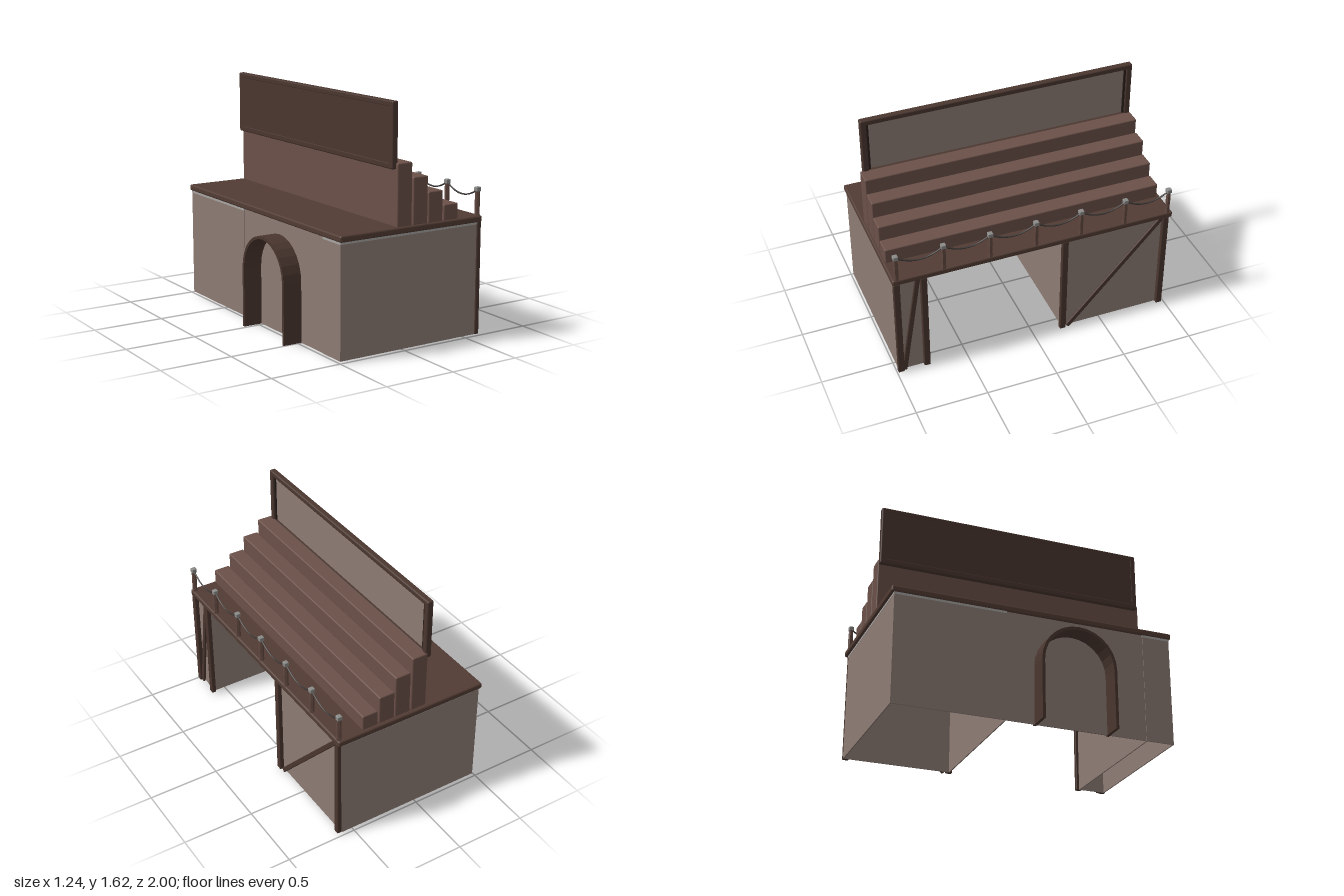
import * as THREE from 'three';
import { RoundedBoxGeometry } from 'three/addons/geometries/RoundedBoxGeometry.js';

const mat = (color, flatShading = false) =>
  new THREE.MeshStandardMaterial({ color, flatShading, side: THREE.DoubleSide });

export function createModel() {
  const root = new THREE.Group();
  const M = {
    deck: mat(0x523c34), step: mat(0x6b5048), wall: mat(0x8d7b74), trim: mat(0xa8a4a2),
    beam: mat(0x4a362f), post: mat(0x614840, true), metal: mat(0x8a8a88, true),
    iron: mat(0x3c3836), dark: mat(0x2a1f1b), plank: mat(0x6a4a40),
  };
  const add = (name, geo, m, parent = root) => {
    const mesh = new THREE.Mesh(geo, m);
    mesh.name = name;
    parent.add(mesh);
    return mesh;
  };
  // Box given by its min and max on each axis, with optional rounded edges
  const box = (name, x, y, z, m, r = 0, parent = root) => {
    const s = [x, y, z].map(([a, b]) => b - a);
    const geo = r ? new RoundedBoxGeometry(...s, 2, r) : new THREE.BoxGeometry(...s);
    const mesh = add(name, geo, m, parent);
    mesh.position.set((x[0] + x[1]) / 2, (y[0] + y[1]) / 2, (z[0] + z[1]) / 2);
    return mesh;
  };

  // Deck
  box('deck', [-0.5, 0.62], [0.767, 0.81], [-1, 1], M.deck, 0.012);

  // Stepped benches
  [[-0.06, 0.055, 1.22], [0.065, 0.18, 1.12], [0.186, 0.301, 1.013], [0.311, 0.426, 0.915]]
    .forEach(([a, b, top]) => box('benchStep', [a, b], [0.805, top], [-0.975, 0.985], M.step, 0.008));

  // Framed back board
  const board = new THREE.Group();
  board.name = 'backBoard';
  root.add(board);
  const z0 = -0.97, z1 = 0.965;
  box('boardBack', [-0.088, -0.072], [1.185, 1.605], [z0 + 0.01, z1 - 0.01], M.beam, 0, board);
  box('boardPanel', [-0.073, -0.066], [1.2, 1.59], [z0 + 0.03, z1 - 0.03], M.wall, 0, board);
  [[1.18, 1.222], [1.573, 1.612]].forEach((y) =>
    box('boardRail', [-0.09, -0.045], y, [z0, z1], M.beam, 0.01, board));
  [[z0, z0 + 0.042], [z1 - 0.042, z1]].forEach((z) =>
    box('boardStile', [-0.09, -0.045], [1.18, 1.612], z, M.beam, 0.01, board));
  [[z0 + 0.04, z0 + 0.056], [z1 - 0.056, z1 - 0.04]].forEach((z) =>
    box('boardInnerTrim', [-0.07, -0.055], [1.2, 1.575], z, M.dark, 0, board));

  // Two hollow side rooms, open underneath
  const X0 = -0.49, X1 = 0.585, t = 0.008, H = [0, 0.768];
  [[-0.98, -0.21], [0.785, 0.985]].forEach(([a, b]) => {
    const room = new THREE.Group();
    room.name = 'sideRoom';
    root.add(room);
    box('roomBack', [X0, X0 + t], H, [a, b], M.wall, 0, room);
    box('roomFront', [X1 - t, X1], H, [a, b], M.wall, 0, room);
    box('roomSide', [X0, X1], H, [a, a + t], M.wall, 0, room);
    box('roomSide', [X0, X1], H, [b - t, b], M.wall, 0, room);
    box('roomTrim', [X0 - 0.002, X1 + 0.002], [0.752, 0.768], [a - 0.002, b + 0.002], M.trim, 0, room);
  });
  // Rear wall of the recess
  box('recessWall', [X0 + 0.004, X0 + 0.01], H, [-0.21, 0.785], M.wall);

  // Front timber posts and diagonal braces
  [0.972, 0.787, -0.212, -0.957].forEach((z) =>
    box('timberPost', [0.584, 0.616], [0, 0.77], [z - 0.022, z + 0.022], M.beam, 0.006));
  [[0.945, 0.825], [-0.25, -0.935]].forEach(([za, zb]) => {
    const dy = 0.765, dz = zb - za;
    const brace = add('timberBrace', new RoundedBoxGeometry(0.018, Math.hypot(dy, dz), 0.034, 2, 0.005), M.beam);
    brace.position.set(0.595, dy / 2, (za + zb) / 2);
    brace.rotation.x = Math.atan2(dz, dy);
  });

  // Railing: tapered posts with metal caps, joined by sagging ropes
  const px = 0.6, railZ = [...Array(7)].map((_, i) => -0.967 + i * 0.3225);
  const profile = [[0.019, 0.8], [0.016, 0.84], [0.018, 0.9], [0.015, 0.975]]
    .map(([r, y]) => new THREE.Vector2(r, y));
  railZ.forEach((z, i) => {
    const post = add('railPost', new THREE.LatheGeometry(profile, 6), M.post);
    post.position.set(px, 0, z);
    box('railCap', [px - 0.017, px + 0.017], [0.97, 1.0], [z - 0.017, z + 0.017], M.metal, 0.004);
    if (!i) return;
    const pts = [0, 0.12, 0.3, 0.5, 0.7, 0.88, 1].map((k) =>
      new THREE.Vector3(px, 0.982 - 0.056 * (1 - (2 * k - 1) ** 2), railZ[i - 1] + k * 0.3225));
    add('railRope', new THREE.TubeGeometry(new THREE.CatmullRomCurve3(pts), 20, 0.0055, 6), M.iron);
  });

  // Arched doorway, drawn in a plane and turned to face +x
  const door = new THREE.Group();
  door.name = 'archedDoor';
  door.position.set(-0.46, 0, 0.253);
  door.rotation.y = -Math.PI / 2;
  root.add(door);
  const spring = 0.41;
  const arch = (r, n = 14) => {
    const pts = [[r, 0]];
    for (let i = 0; i <= n; i++) {
      const a = (Math.PI * i) / n;
      pts.push([r * Math.cos(a), spring + r * Math.sin(a)]);
    }
    pts.push([-r, 0]);
    return pts.map(([x, y]) => new THREE.Vector2(x, y));
  };
  const frame = new THREE.Shape([...arch(0.267), ...arch(0.247).reverse()]);
  add('doorArch', new THREE.ExtrudeGeometry(frame, { depth: 0.16, bevelEnabled: false }), M.beam, door);
  const back = add('doorBacking', new THREE.ShapeGeometry(new THREE.Shape(arch(0.25))), M.dark, door);
  back.position.z = 0.018;

  // Centre post, planks, cracks, nails and ring handles on both leaves
  const topAt = (u) => spring + Math.sqrt(Math.max(0, 0.245 ** 2 - u * u));
  box('doorMullion', [-0.015, 0.015], [0.01, topAt(0)], [0.0, 0.02], M.beam, 0, door);
  let seed = 7;
  const rnd = () => (seed = (seed * 16807) % 2147483647) / 2147483647;
  for (const side of [-1, 1]) {
    [[0.02, 0.088], [0.094, 0.167], [0.173, 0.243]].forEach(([a, b]) => {
      const pts = [[a, 0.015], [b, 0.015]];
      for (let i = 0; i <= 5; i++) {
        const u = b + ((a - b) * i) / 5;
        pts.push([u, topAt(u) - 0.003]);
      }
      const shape = new THREE.Shape(pts.map(([u, y]) => new THREE.Vector2(side * u, y)));
      const plank = add('doorPlank', new THREE.ExtrudeGeometry(shape, { depth: 0.012, bevelEnabled: false }), M.plank, door);
      plank.position.z = 0.005;
      for (let i = 0; i < 4; i++) {
        const u = side * (a + 0.012 + rnd() * (b - a - 0.024)), y = 0.05 + i * 0.12 + rnd() * 0.05;
        box('doorCrack', [u - 0.002, u + 0.002], [y, y + 0.04 + rnd() * 0.05], [0.003, 0.006], M.dark, 0, door);
      }
      for (const u of [a + 0.012, b - 0.012]) {
        for (const y of [0.035, topAt(u) - 0.03]) {
          const nail = add('doorNail', new THREE.SphereGeometry(0.004, 6, 4), M.iron, door);
          nail.position.set(side * u, y, 0.004);
        }
      }
    });
    const ring = add('doorRing', new THREE.TorusGeometry(0.021, 0.005, 6, 14), M.iron, door);
    ring.position.set(side * 0.079, 0.275, -0.006);
    box('doorRingMount', [side * 0.079 - 0.008, side * 0.079 + 0.008], [0.285, 0.325], [-0.012, 0.006], M.iron, 0.003, door);
  }
  return root;
}
